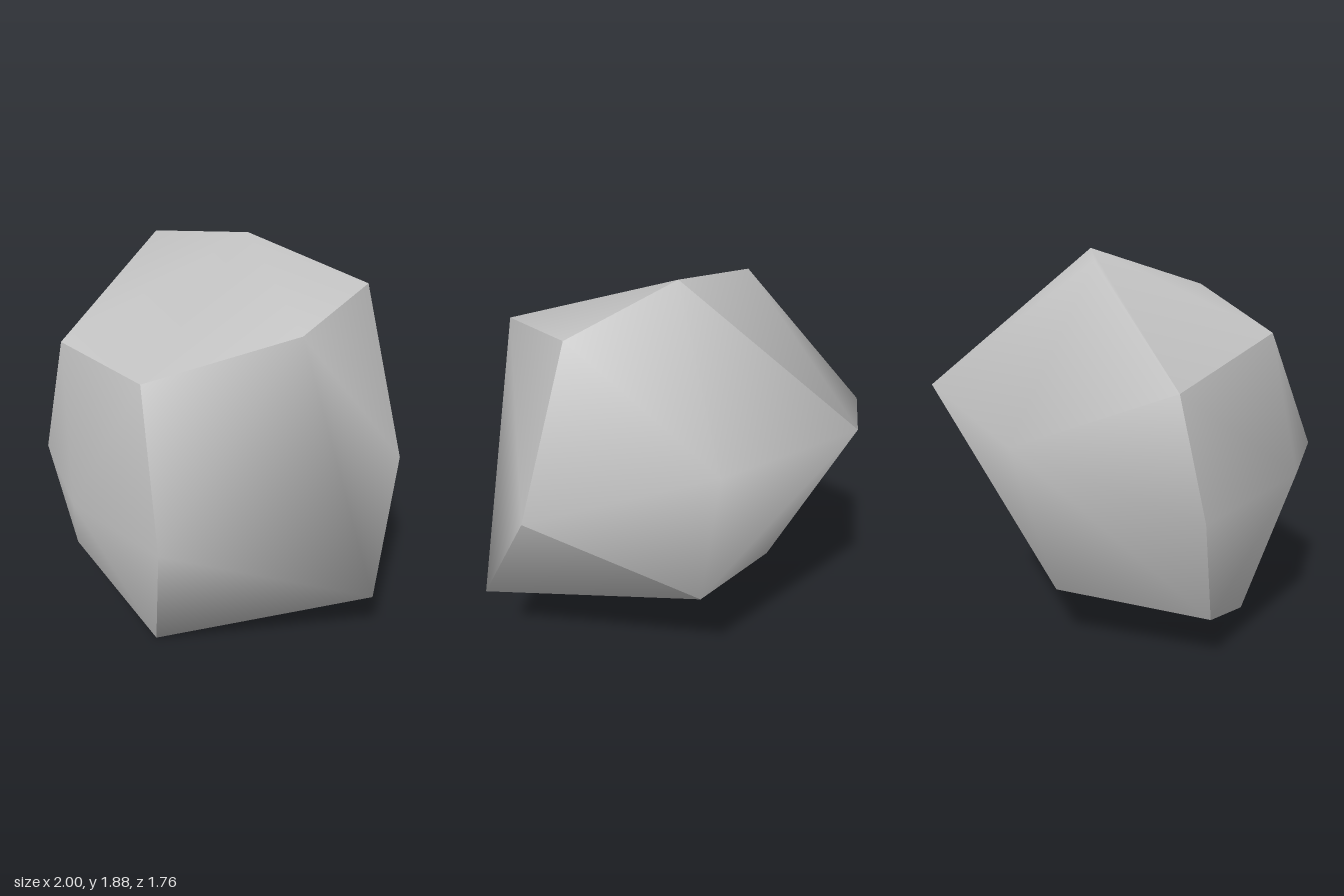
import * as THREE from 'three';

// Corner points of the boulder
const P = {
  crownLeft: [-0.39, 1.84, 0.06], peak: [0.02, 1.88, -0.18],
  shoulderFront: [0.74, 1.67, 0.13], shoulderBack: [0.57, 1.73, -0.42],
  browLeft: [0.36, 1.47, 0.66], browRight: [-0.56, 1.32, 0.54],
  sideTip: [-1.0, 1.13, -0.01], cheek: [-0.56, 0.77, 0.67],
  heel: [-0.51, 0.295, -0.1], chin: [-0.38, 0.24, 0.64],
  foot: [0.27, 0, 0.58], frontCorner: [0.66, 0.85, 0.8],
  lowTip: [1.0, 0.37, -0.16], tail: [0.06, 0.56, -0.73],
  backCorner: [0.81, 0.925, -0.48], backSide: [-0.68, 1.28, -0.64],
  backBulge: [0.03, 1.26, -0.88], frontBulge: [0.1, 0.84, 0.88],
};

// Each smooth patch is a set of fans: a hub followed by its rim points
const PATCHES = {
  topAndSide: [
    ['crownLeft', 'peak', 'browRight', 'sideTip', 'backSide', 'peak'],
    ['peak', 'browRight', 'browLeft', 'shoulderFront', 'shoulderBack'],
    ['sideTip', 'browRight', 'cheek', 'chin', 'heel', 'backSide'],
  ],
  frontFace: [
    ['frontBulge', 'browRight', 'browLeft', 'frontCorner', 'foot', 'chin', 'cheek', 'browRight'],
  ],
  backFace: [
    ['backBulge', 'backSide', 'peak', 'shoulderBack', 'backCorner', 'tail', 'backSide'],
    ['tail', 'backSide', 'heel'],
  ],
  sideAndUnderside: [
    ['lowTip', 'tail', 'backCorner', 'shoulderFront', 'frontCorner', 'foot', 'tail'],
    ['shoulderFront', 'backCorner', 'shoulderBack'],
    ['shoulderFront', 'browLeft', 'frontCorner'],
    ['foot', 'tail', 'heel', 'chin'],
  ],
};

// Sharp edges that run into a patch and fade out at their smooth end
const CREASES = [['browRight', 'crownLeft'], ['backCorner', 'lowTip']];

const CENTRE = new THREE.Vector3(0, 1, 0);
const point = (name) => new THREE.Vector3(...P[name]);
const isCrease = (a, b) => CREASES.some((c) => c.includes(a) && c.includes(b));

// Triangles of a patch, all turned to face away from the centre
function patchFaces(fans) {
  const faces = [];
  for (const [hub, ...rim] of fans) {
    for (let i = 0; i + 1 < rim.length; i++) {
      const names = [hub, rim[i], rim[i + 1]];
      const tri = new THREE.Triangle(...names.map(point));
      const normal = tri.getNormal(new THREE.Vector3());
      const out = tri.getMidpoint(new THREE.Vector3()).sub(CENTRE);
      if (normal.dot(out) < 0) {
        names.reverse();
        normal.negate();
      }
      faces.push({ names, normal });
    }
  }
  return faces;
}

// Faces around a point that are joined to the first face without crossing a crease
function smoothRing(faces, face, name) {
  const ring = [face];
  for (const f of ring) {
    for (const g of faces) {
      const joined = g.names.includes(name) && g.names.some(
        (n) => n !== name && f.names.includes(n) && !isCrease(n, name));
      if (joined && !ring.includes(g)) ring.push(g);
    }
  }
  return ring;
}

function cornerAngle(face, name) {
  const [a, b] = face.names.filter((n) => n !== name).map((n) => point(n).sub(point(name)));
  return a.angleTo(b);
}

function patchGeometry(fans) {
  const faces = patchFaces(fans);
  const points = [];
  const normals = [];
  for (const face of faces) {
    for (const name of face.names) {
      const normal = new THREE.Vector3();
      for (const f of smoothRing(faces, face, name)) {
        normal.addScaledVector(f.normal, cornerAngle(f, name));
      }
      points.push(point(name));
      normals.push(...normal.normalize().toArray());
    }
  }
  const geometry = new THREE.BufferGeometry().setFromPoints(points);
  geometry.setAttribute('normal', new THREE.Float32BufferAttribute(normals, 3));
  return geometry;
}

export function createModel() {
  const rock = new THREE.Group();
  rock.name = 'rock';
  const stone = new THREE.MeshStandardMaterial({ color: 0xc3c3c3 });
  stone.name = 'stone grey';
  for (const [name, fans] of Object.entries(PATCHES)) {
    const mesh = new THREE.Mesh(patchGeometry(fans), stone);
    mesh.name = name;
    rock.add(mesh);
  }
  return rock;
}
